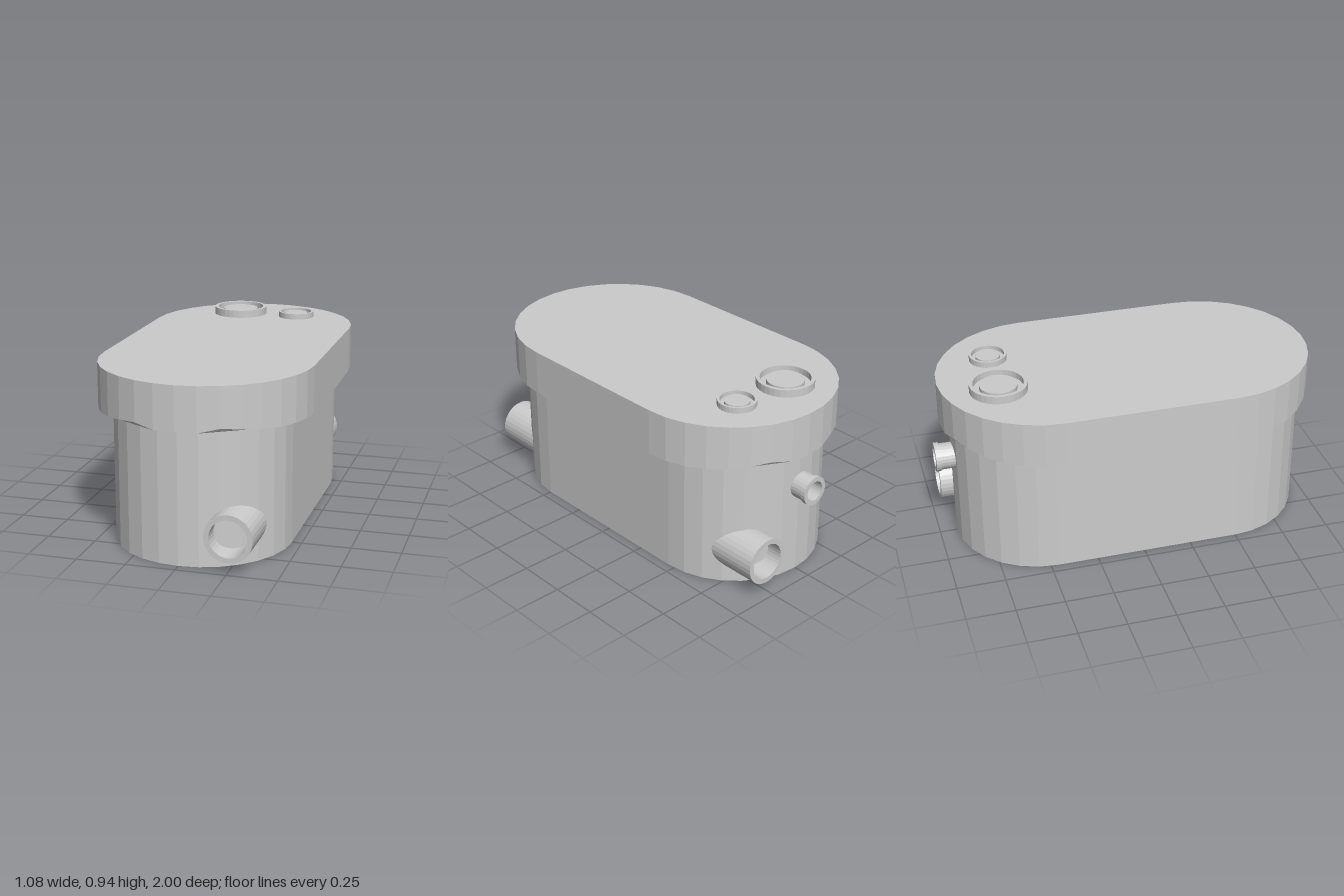
import * as THREE from 'three';

const material = new THREE.MeshStandardMaterial({ color: 0xcccccc, flatShading: true });

// Stadium outline in (x, -z): half-circle ends of radius r around z = zBack and z = zFront
function stadium(r, zBack, zFront, segs, sideSegs) {
  const pts = [];
  for (const [zc, start] of [[zBack, 0], [zFront, Math.PI]]) {
    for (let i = 0; i <= segs; i++) {
      const a = start + (Math.PI * i) / segs;
      pts.push(new THREE.Vector2(r * Math.cos(a), -zc + r * Math.sin(a)));
    }
    const from = pts[pts.length - 1];
    const sign = start === 0 ? -1 : 1;
    for (let i = 1; i < sideSegs; i++) {
      pts.push(new THREE.Vector2(from.x, -zc + (sign * (zFront - zBack) * i) / sideSegs));
    }
  }
  return new THREE.Shape(pts);
}

function prism(shape, y0, y1) {
  const geo = new THREE.ExtrudeGeometry(shape, { depth: y1 - y0, bevelEnabled: false });
  geo.rotateX(-Math.PI / 2);
  geo.translate(0, y0, 0);
  return geo;
}

// Height of the lid's wavy lower edge at (x, z)
const wave = [[0, 0.675], [0.11, 0.675], [0.2, 0.697], [0.29, 0.69], [0.4, 0.674], [0.54, 0.664]];
function lidEdge(x, z, zBack, zFront) {
  if (z > zBack && z < zFront) {
    const t = (z - zBack) / (zFront - zBack);
    return 0.664 - 0.009 * Math.sin(Math.PI * t);
  }
  const ax = Math.min(Math.abs(x), 0.54);
  for (let i = 1; i < wave.length; i++) {
    const [x0, y0] = wave[i - 1], [x1, y1] = wave[i];
    if (ax <= x1) return y0 + ((y1 - y0) * (ax - x0)) / (x1 - x0);
  }
  return 0.664;
}

function lathe(profile, segs) {
  return new THREE.LatheGeometry(profile.map(([r, y]) => new THREE.Vector2(r, y)), segs);
}

export function createModel() {
  const group = new THREE.Group();
  const add = (name, geo, x = 0, y = 0, z = 0) => {
    const mesh = new THREE.Mesh(geo, material);
    mesh.name = name;
    mesh.position.set(x, y, z);
    group.add(mesh);
    return mesh;
  };

  // Tank body
  add('tankBody', prism(stadium(0.45, -0.46, 0.5, 14, 1), 0, 0.72));

  // Overhanging lid with a wavy lower edge
  const zBack = -0.42, zFront = 0.45;
  const lid = prism(stadium(0.54, zBack, zFront, 16, 6), 0.66, 0.9);
  const pos = lid.attributes.position;
  for (let i = 0; i < pos.count; i++) {
    if (pos.getY(i) < 0.7) pos.setY(i, lidEdge(pos.getX(i), pos.getZ(i), zBack, zFront));
  }
  lid.computeVertexNormals();
  add('lid', lid);

  // Large inlet and outlet pipes, open at the outer end
  const pipe = (length) => lathe([[0.12, 0], [0.12, length], [0.094, length], [0.094, 0]], 32);
  add('frontPipe', pipe(0.42), 0.26, 0.18, 0.58).rotation.x = Math.PI / 2;
  add('backPipe', pipe(0.42), 0.26, 0.18, -0.54).rotation.x = -Math.PI / 2;

  // Small collared pipe high on the back
  const small = lathe([[0.068, 0], [0.068, 0.115], [0.075, 0.115], [0.075, 0.14],
    [0.052, 0.14], [0.052, 0]], 24);
  add('smallBackPipe', small, -0.015, 0.483, -0.86).rotation.x = -Math.PI / 2;

  // Round ports on the lid: rim, groove and raised centre
  const port = (r, h) => lathe([[r, 0], [r, h], [r * 0.87, h], [r * 0.87, 0.006],
    [r * 0.65, 0.006], [r * 0.65, h * 0.75], [0, h * 0.75]], 32);
  add('largePort', port(0.146, 0.04), -0.135, 0.9, -0.67);
  add('smallPort', port(0.097, 0.03), 0.19, 0.9, -0.66);

  return group;
}
